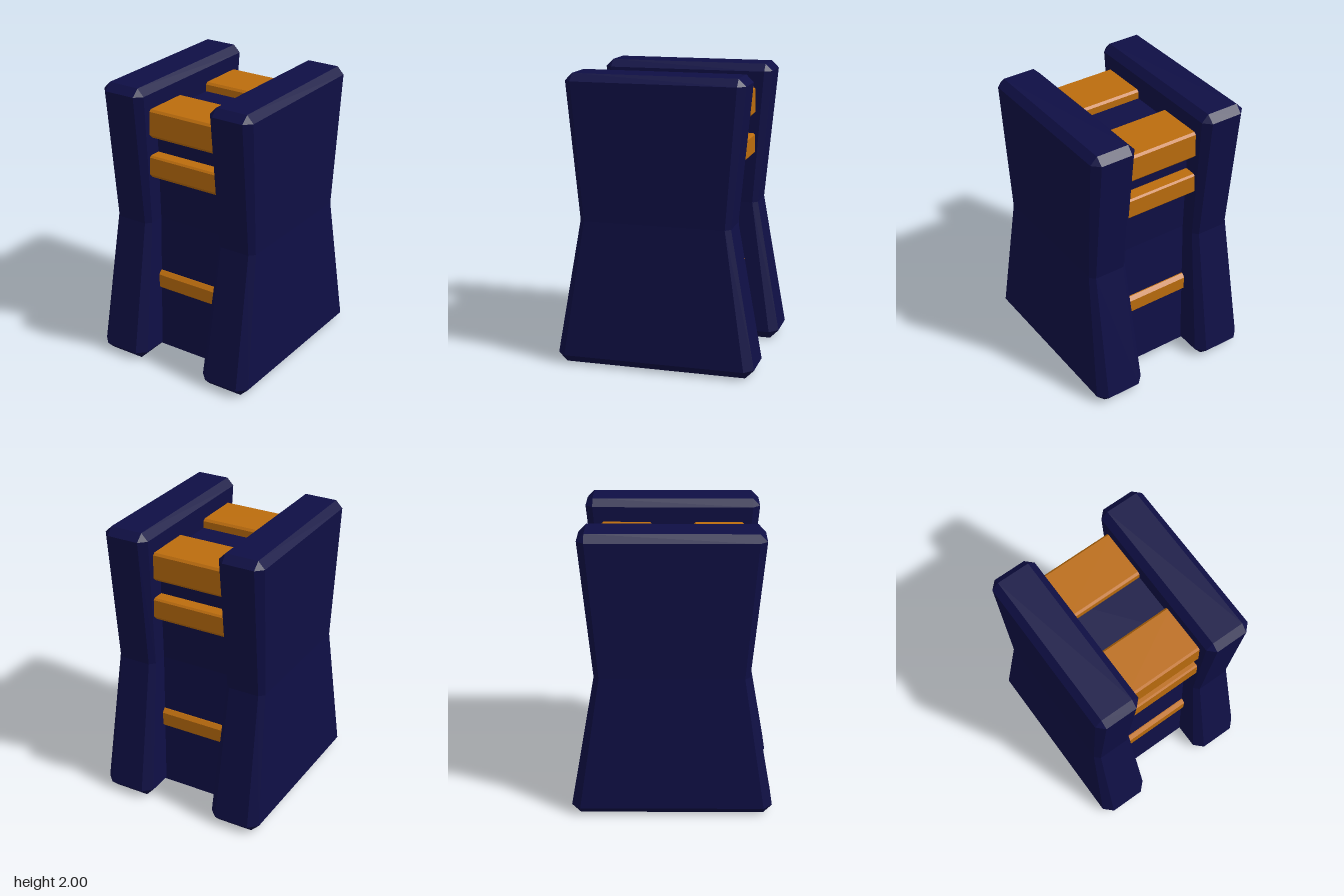
import * as THREE from 'three';

const navy = new THREE.MeshStandardMaterial({ color: 0x0f0f45 });
navy.name = 'navy';
const orange = new THREE.MeshStandardMaterial({ color: 0xbb6c0d });
orange.name = 'orange';

// Outline of a rectangle with cut corners, at height y
function ring(y, x0, x1, z0, z1, c) {
  return [
    [x0 + c, z0], [x1 - c, z0], [x1, z0 + c], [x1, z1 - c],
    [x1 - c, z1], [x0 + c, z1], [x0, z1 - c], [x0, z0 + c],
  ].map(([x, z]) => [x, y, z]);
}

// Skin stacked rings and cap both ends, with faceted normals
function loft(rings) {
  const pos = [];
  const tri = (a, b, c) => pos.push(...a, ...b, ...c);
  for (let i = 0; i < rings.length - 1; i++) {
    const lo = rings[i], hi = rings[i + 1];
    for (let j = 0; j < 8; j++) {
      const k = (j + 1) % 8;
      tri(lo[j], hi[j], hi[k]);
      tri(lo[j], hi[k], lo[k]);
    }
  }
  const bottom = rings[0], top = rings[rings.length - 1];
  for (let j = 1; j < 7; j++) {
    tri(bottom[0], bottom[j], bottom[j + 1]);
    tri(top[0], top[j + 1], top[j]);
  }
  const g = new THREE.BufferGeometry();
  g.setAttribute('position', new THREE.Float32BufferAttribute(pos, 3));
  g.computeVertexNormals();
  return g;
}

// Bar running along x, chamfered on its four long edges
function barGeometry(y0, y1, z0, z1, half, c, cLow) {
  const s = new THREE.Shape();
  // shape x maps to -z after the turn below
  [[-z1 + cLow, y0], [-z0 - cLow, y0], [-z0, y0 + cLow], [-z0, y1 - c],
    [-z0 - c, y1], [-z1 + c, y1], [-z1, y1 - c], [-z1, y0 + cLow]]
    .forEach(([x, y], i) => (i ? s.lineTo(x, y) : s.moveTo(x, y)));
  s.closePath();
  const g = new THREE.ExtrudeGeometry(s, { depth: half * 2, bevelEnabled: false });
  g.translate(0, 0, -half);
  g.rotateY(Math.PI / 2);
  return g;
}

export function createModel() {
  const model = new THREE.Group();
  model.name = 'waistedBlock';
  const add = (geometry, material, name) => {
    const mesh = new THREE.Mesh(geometry, material);
    mesh.name = name;
    model.add(mesh);
    return mesh;
  };

  // Side panels: y, inner x, outer x, half depth, corner cut
  const levels = [
    [0, 0.295, 0.55, 0.63, 0],
    [0.06, 0.24, 0.61, 0.69, 0.06],
    [1.01, 0.28, 0.567, 0.52, 0.035],
    [1.95, 0.262, 0.588, 0.61, 0.05],
    [2, 0.31, 0.54, 0.56, 0],
  ];
  for (const side of [1, -1]) {
    const rings = levels.map(([y, a, b, z, c]) =>
      side > 0 ? ring(y, a, b, -z, z, c) : ring(y, -b, -a, -z, z, c));
    add(loft(rings), navy, side > 0 ? 'leftPanel' : 'rightPanel');
  }

  // Recessed core joining the panels
  const core = [[0.05, 0.455], [1.01, 0.38], [1.78, 0.42]]
    .map(([y, z]) => ring(y, -0.33, 0.33, -z, z, 0));
  add(loft(core), navy, 'core');

  // Cross bars on front and back: y0, y1, inner z, outer z, top and bottom chamfer
  const bars = [
    ['lowerBar', 0.49, 0.62, 0.3, 0.443, 0.025, 0.012],
    ['middleBar', 1.35, 1.515, 0.2, 0.5, 0.012, 0.03],
    ['upperBar', 1.64, 1.845, 0.145, 0.5, 0.015, 0.025],
  ];
  for (const [name, y0, y1, z0, z1, c, cLow] of bars) {
    const g = barGeometry(y0, y1, z0, z1, 0.29, c, cLow);
    add(g, orange, name + 'Front');
    add(g, orange, name + 'Back').rotation.y = Math.PI;
  }
  return model;
}
